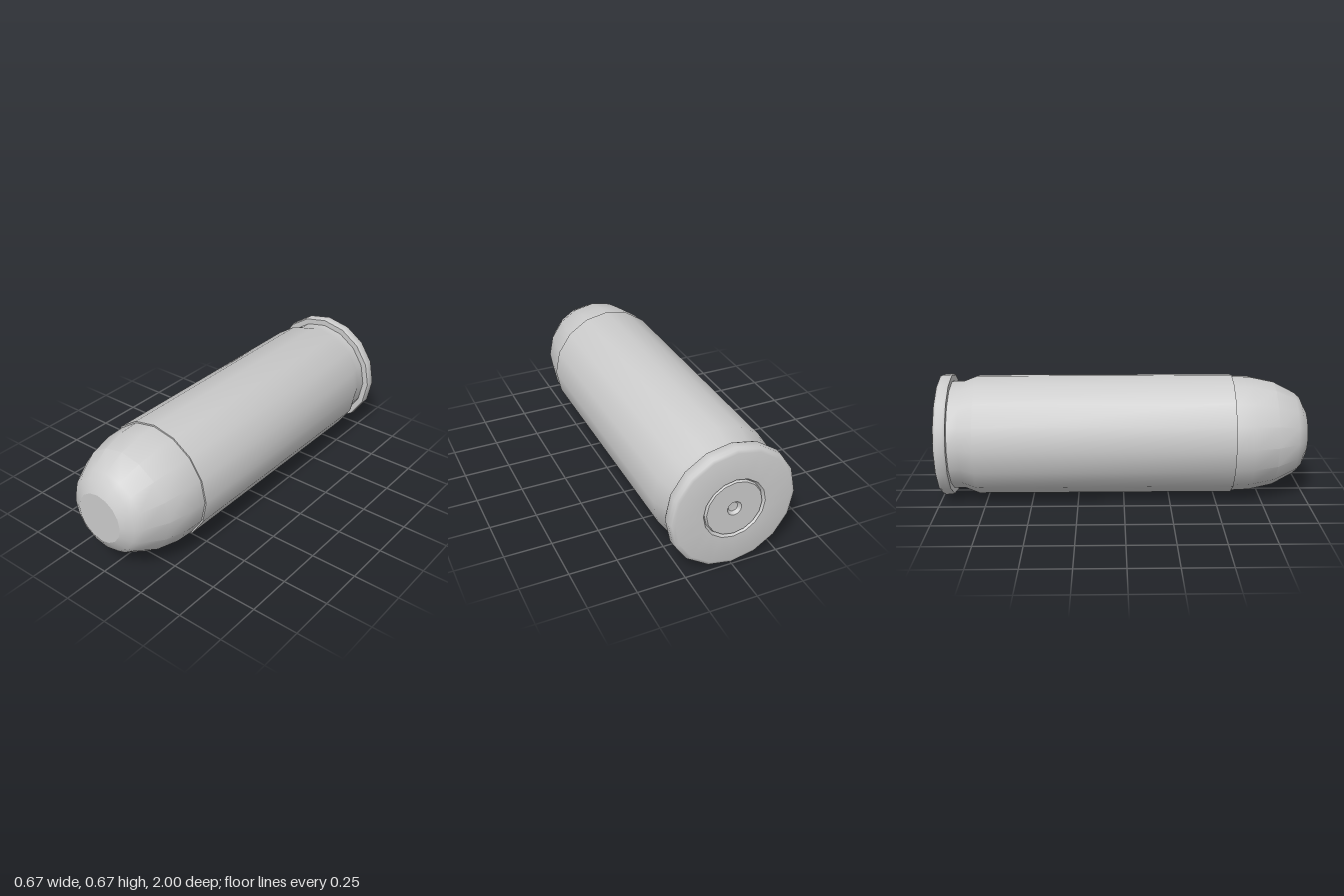
import * as THREE from 'three';
import { toCreasedNormals } from 'three/addons/utils/BufferGeometryUtils.js';

const SIDES = 16;
const AXIS_HEIGHT = 0.336;

// Revolves [radius, z] points, listed from back to front, around the long axis.
function turned(name, profile, crease = 0.5) {
  const points = profile.map(([r, z]) => new THREE.Vector2(r, z));
  const geometry = new THREE.LatheGeometry(points, SIDES).rotateX(Math.PI / 2);
  const material = new THREE.MeshStandardMaterial({ color: 0xcccccc });
  const mesh = new THREE.Mesh(toCreasedNormals(geometry, crease), material);
  mesh.name = name;
  mesh.position.y = AXIS_HEIGHT;
  return mesh;
}

export function createModel() {
  const model = new THREE.Group();
  model.name = 'cartridge';

  // Primer: flat disc with a small dimple in the middle
  model.add(turned('primer', [
    [0, -0.98], [0.025, -0.982], [0.038, -0.998], [0.148, -0.998], [0.154, -0.985],
  ]));

  // Case: primer pocket edge, rim, extractor groove, straight wall and mouth lip
  model.add(turned('case', [
    [0.154, -0.985], [0.165, -1], [0.31, -1], [0.327, -0.994], [0.335, -0.98],
    [0.335, -0.945], [0.33, -0.932], [0.298, -0.932], [0.298, -0.872],
    [0.328, -0.795], [0.328, 0.59], [0.319, 0.59], [0.316, 0.56],
  ], 0.8));

  // Projectile: rounded nose with a flat tip
  model.add(turned('projectile', [
    [0.319, 0.56], [0.32, 0.6], [0.316, 0.69], [0.288, 0.82], [0.228, 0.935],
    [0.2, 0.967], [0.136, 1], [0, 1],
  ], 0.45));

  return model;
}
